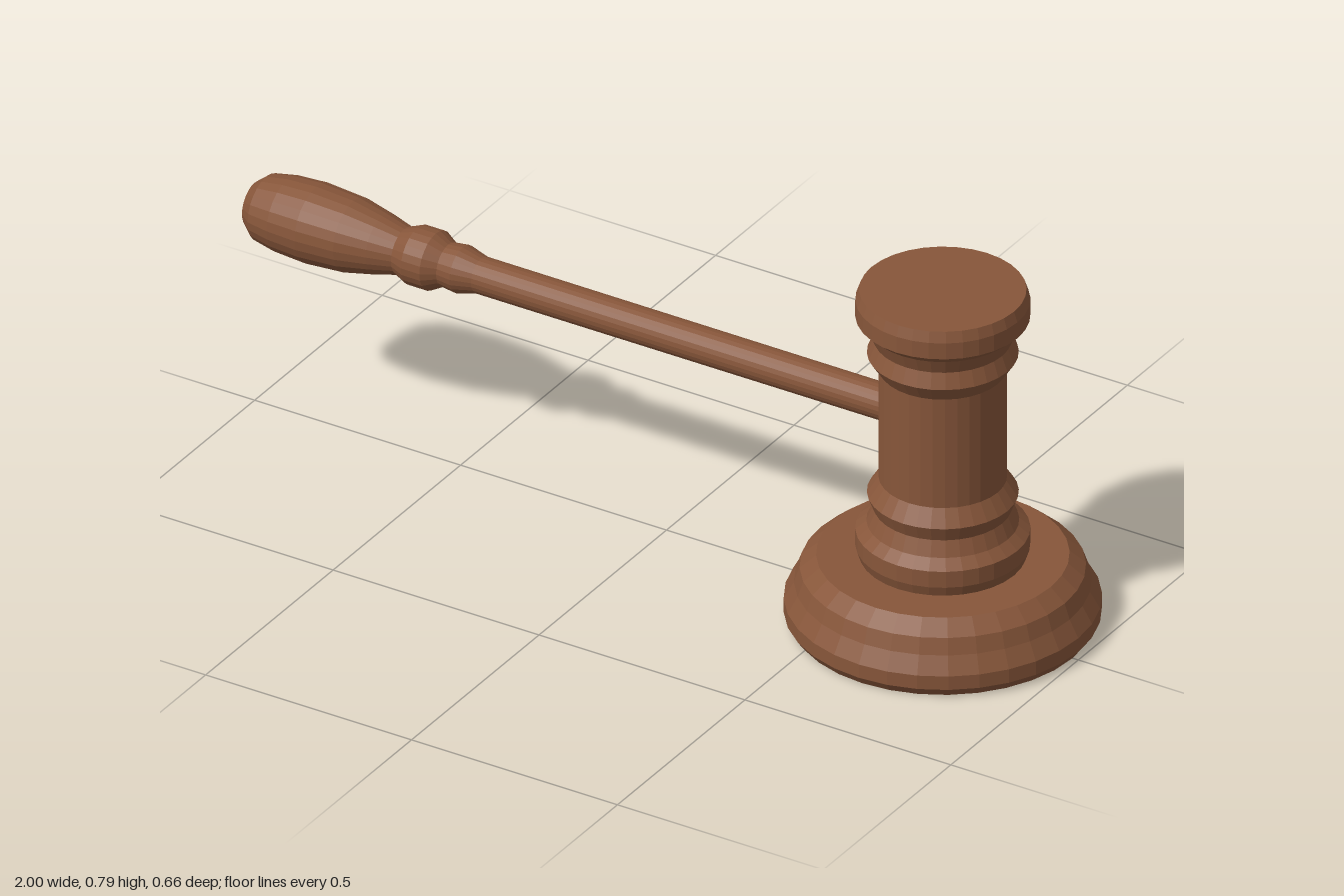
import * as THREE from 'three';

export function createModel() {
  const model = new THREE.Group();
  const wood = new THREE.MeshStandardMaterial({ color: 0x87563a });
  wood.flatShading = true;

  // Turned part: profile of [radius, height], closed at both ends
  function turned(name, profile, segments) {
    const closed = [[0, profile[0][1]], ...profile, [0, profile[profile.length - 1][1]]];
    const points = closed.map(([r, y]) => new THREE.Vector2(r, y));
    const mesh = new THREE.Mesh(new THREE.LatheGeometry(points, segments), wood);
    mesh.name = name;
    model.add(mesh);
    return mesh;
  }

  const centreX = 0.671;

  // Round sounding block
  turned('soundingBlock', [
    [0.315, 0], [0.329, 0.02], [0.329, 0.052], [0.308, 0.09], [0.296, 0.125], [0.262, 0.154],
  ], 32).position.x = centreX;

  // Head: the upper half mirrors the lower half about its middle
  const half = [
    [0.173, -0.3165], [0.181, -0.293], [0.181, -0.255], [0.158, -0.235],
    [0.144, -0.201], [0.157, -0.167], [0.133, -0.13],
  ];
  const upper = half.map(([r, y]) => [r, -y]).reverse();
  turned('head', [...half, ...upper], 32).position.set(centreX, 0.4705, 0);

  // Handle: grip, bead, collar and rod, laid along x
  const handle = turned('handle', [
    [0.05, -1], [0.073, -0.972], [0.083, -0.92], [0.087, -0.85], [0.081, -0.76],
    [0.066, -0.69], [0.052, -0.637], [0.065, -0.605], [0.065, -0.56],
    [0.048, -0.53], [0.052, -0.495], [0.04, -0.45], [0.039, 0.58],
  ], 24);
  handle.rotation.z = -Math.PI / 2;
  handle.position.y = 0.472;

  return model;
}
